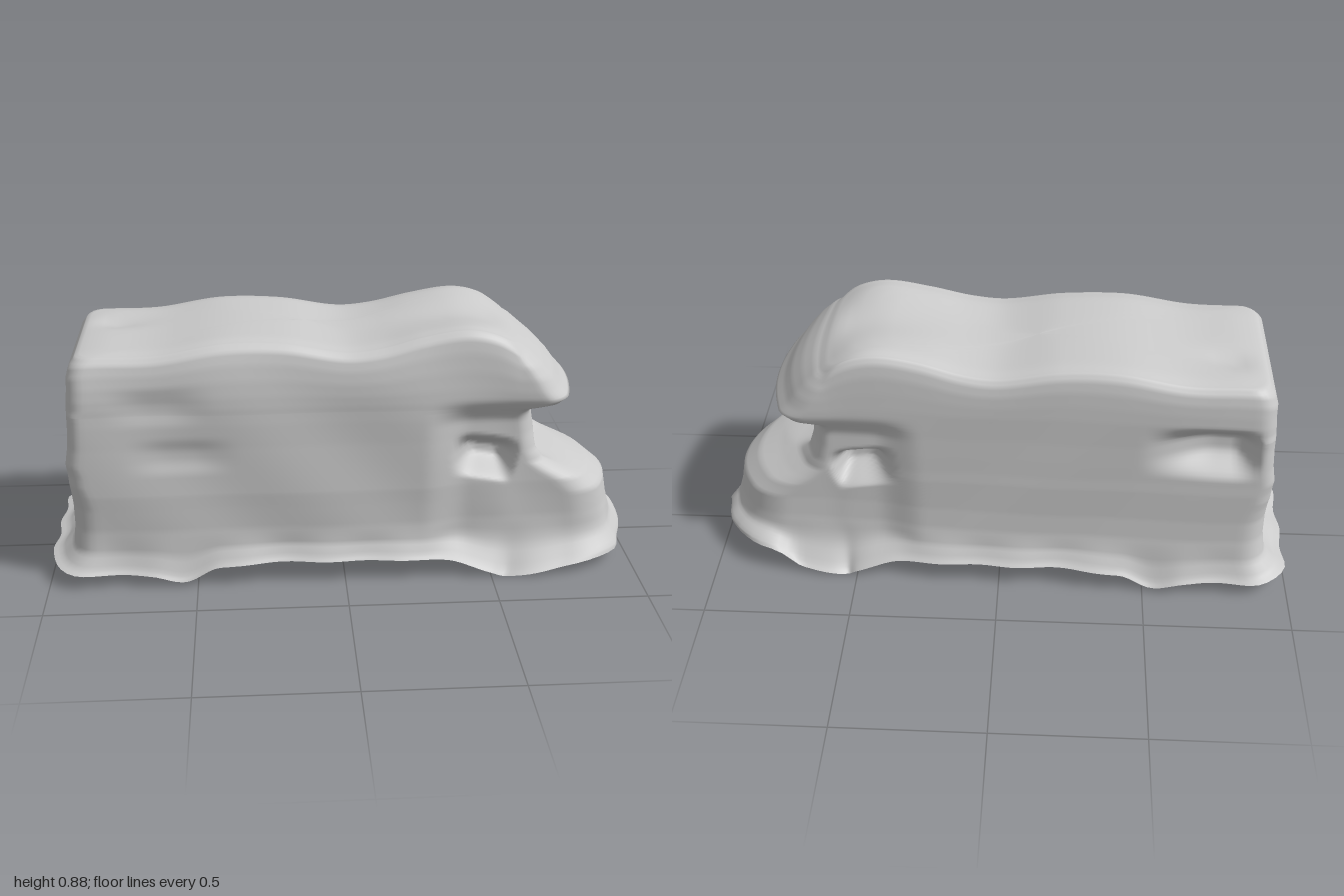
import * as THREE from 'three';

const { smoothstep, lerp } = THREE.MathUtils;

// Smooth lookup through [key, value] points
function curve(points) {
  const slope = (i) => {
    const a = points[Math.max(i - 1, 0)], b = points[Math.min(i + 1, points.length - 1)];
    return (b[1] - a[1]) / (b[0] - a[0]);
  };
  return (x) => {
    if (x <= points[0][0]) return points[0][1];
    for (let i = 1; i < points.length; i++) {
      const [x0, v0] = points[i - 1], [x1, v1] = points[i];
      if (x > x1) continue;
      const h = x1 - x0, t = (x - x0) / h, u = 1 - t;
      return v0 * u * u * (1 + 2 * t) + v1 * t * t * (3 - 2 * t) + h * t * u * (slope(i - 1) * u - slope(i) * t);
    }
    return points[points.length - 1][1];
  };
}

// 1 inside [a, b], fading to 0 over s at both ends
const bump = (v, a, b, s) => smoothstep(v, a, a + s) * (1 - smoothstep(v, b - s, b));

const roof = curve([[-0.9, 0.79], [-0.85, 0.806], [-0.62, 0.81], [-0.4, 0.845], [-0.2, 0.842],
  [0, 0.81], [0.12, 0.82], [0.26, 0.855], [0.4, 0.876], [0.5, 0.858], [0.6, 0.81]]);
const hem = curve([[-1, 0.07], [-0.88, 0.055], [-0.64, 0.045], [-0.53, 0.022], [-0.42, 0.072],
  [0, 0.083], [0.35, 0.07], [0.5, 0.025], [0.63, 0.003], [0.98, 0.05]]);

// Horizontal sections: y, rear x, front x, right z, left z, corner radius
const sections = [
  [0.07, -0.995, 1.0, -0.34, 0.34, 0.12],
  [0.085, -0.965, 1.0, -0.325, 0.328, 0.11],
  [0.13, -0.92, 0.965, -0.302, 0.31, 0.09],
  [0.2, -0.91, 0.945, -0.29, 0.308, 0.08],
  [0.28, -0.91, 0.93, -0.285, 0.312, 0.08],
  [0.33, -0.912, 0.87, -0.285, 0.315, 0.07],
  [0.365, -0.915, 0.79, -0.285, 0.315, 0.06],
  [0.40, -0.917, 0.72, -0.285, 0.315, 0.06],
  [0.44, -0.92, 0.68, -0.283, 0.315, 0.05],
  [0.50, -0.91, 0.66, -0.282, 0.315, 0.05],
  [0.58, -0.905, 0.645, -0.28, 0.317, 0.05],
  [0.60, -0.905, 0.655, -0.28, 0.317, 0.05],
  [0.609, -0.905, 0.71, -0.28, 0.317, 0.05],
  [0.618, -0.905, 0.755, -0.28, 0.317, 0.05],
  [0.636, -0.905, 0.777, -0.28, 0.318, 0.06],
  [0.67, -0.903, 0.745, -0.28, 0.318, 0.06],
  [0.71, -0.90, 0.715, -0.278, 0.315, 0.06],
  [0.75, -0.90, 0.675, -0.274, 0.308, 0.06],
  [0.785, -0.89, 0.63, -0.265, 0.297, 0.06],
  [0.805, -0.87, 0.59, -0.248, 0.275, 0.06],
];

// Rounded rectangle, running anticlockwise seen from above
function outline([y, x0, x1, z0, z1, r]) {
  const pts = [];
  const corners = [[x0 + r, z1 - r, 180], [x1 - r, z1 - r, 90], [x1 - r, z0 + r, 0], [x0 + r, z0 + r, -90]];
  const arc = (c, k) => {
    const a = THREE.MathUtils.degToRad(c[2] - 90 * k);
    return [c[0] + r * Math.cos(a), c[1] + r * Math.sin(a)];
  };
  corners.forEach((c, i) => {
    for (let k = 0; k <= 6; k++) pts.push([...arc(c, k / 6), y]);
    const from = arc(c, 1), to = arc(corners[(i + 1) % 4], 0), n = i % 2 ? 32 : 80;
    for (let k = 1; k < n; k++) pts.push([lerp(from[0], to[0], k / n), lerp(from[1], to[1], k / n), y]);
  });
  return pts;
}

// Bend a plain section point into the worn, dented body
function shape([x, z, y0]) {
  let y = y0, px = x, pz = z;
  const side = Math.sign(z), wall = smoothstep(Math.abs(z), 0.17, 0.22);
  const low = 1 - smoothstep(y0, 0.07, 0.2);
  // bowed front, tapered right side and narrower cab
  const bow = lerp(0.09, 0.05, smoothstep(y0, 0.3, 0.45));
  px -= bow * smoothstep(x, 0.45, 0.75) * ((z - 0.03) / 0.28) ** 2;
  if (z < 0) pz *= 1 - 0.13 * smoothstep(x, -0.9, 0.75);
  pz *= 1 - 0.13 * smoothstep(x, 0.26, 0.42) * bump(y, 0.06, 0.65, 0.1);
  // cab door windows
  const tilt = 0.15 * (x - 0.48);
  pz -= side * wall * 0.095 * bump(x, 0.355, 0.62, 0.09) * bump(y, 0.34 - tilt, 0.505 - tilt, 0.07);
  // rear side window and shallow dents
  if (z < 0) pz += wall * 0.075 * smoothstep(x, -0.87, -0.78) * (1 - smoothstep(x, -0.72, -0.46)) * bump(y, 0.46, 0.67, 0.085);
  else pz -= wall * 0.009 * (bump(x, -0.8, -0.42, 0.16) * bump(y, 0.57, 0.72, 0.07)
    + bump(x, -0.74, -0.34, 0.16) * bump(y, 0.4, 0.54, 0.06));
  // windscreen and rear window
  const slant = 0.16 * (z - 0.05);
  if (x > 0.6) px -= 0.1 * bump(z, -0.15, 0.27, 0.12) * bump(y, 0.37 - slant, 0.515 - slant, 0.07);
  if (x < -0.85) px += bump(z, -0.23, 0.26, 0.1) * (0.06 * bump(y, 0.47, 0.68, 0.085) + 0.025 * bump(y, 0.24, 0.43, 0.08));
  // roof line and wavy hem, lifted under the right of the nose
  y += (roof(x) - 0.808) * smoothstep(y0, 0.62, 0.8);
  y += low * (hem(x) - 0.07 + 0.05 * smoothstep(x, 0.84, 0.94) * (1 - smoothstep(z, -0.05, 0.08)));
  // gentle surface wobble
  pz += side * low * wall * 0.006 * Math.sin(x * 23 + z * 9);
  px += low * 0.006 * Math.sin(z * 31);
  pz += side * wall * 0.004 * Math.sin(x * 11 + y * 9);
  return [px, y, pz];
}

// Skin closed rings of equal length
function skin(rings) {
  const n = rings[0].length, index = [];
  for (let i = 0; i < rings.length - 1; i++) {
    for (let j = 0; j < n; j++) {
      const a = i * n + j, b = i * n + (j + 1) % n;
      index.push(a, b, b + n, a, b + n, a + n);
    }
  }
  const g = new THREE.BufferGeometry();
  g.setAttribute('position', new THREE.Float32BufferAttribute(rings.flat(2), 3));
  g.setIndex(index);
  g.computeVertexNormals();
  return g;
}

export function createModel() {
  const group = new THREE.Group();
  const material = new THREE.MeshStandardMaterial({ color: 0xcccccc });
  const add = (name, rings) => {
    const mesh = new THREE.Mesh(skin(rings), material);
    mesh.name = name;
    group.add(mesh);
  };

  // walls, cab and overhanging sleeping berth
  const rings = [outline(sections[0]).map(shape)];
  sections.slice(1).forEach((s, i) => {
    const p = sections[i];
    const n = Math.max(2, Math.ceil(Math.hypot(s[0] - p[0], (s[2] - p[2]) * 0.6) / 0.013));
    for (let k = 1; k <= n; k++) rings.push(outline(s.map((v, m) => lerp(p[m], v, k / n))).map(shape));
  });

  // roof, closing inward, sagging over the berth and dented at the rear
  const rim = rings[rings.length - 1];
  for (const k of [0.97, 0.93, 0.87, 0.8, 0.7, 0.6, 0.5, 0.4, 0.3, 0.2, 0.1, 0]) {
    rings.push(rim.map(([x, y, z]) => {
      const px = lerp(-0.12, x, lerp(k, 1, 0.35 * k)), pz = lerp(0.01, z, k);
      const sag = 0.026 * smoothstep(px, 0.1, 0.4) * Math.exp(-(((pz - 0.04) / 0.13) ** 2))
        * (1 - smoothstep(px, 0.48, 0.58))
        + 0.02 * Math.exp(-(((px + 0.75) / 0.06) ** 2) - ((pz + 0.08) / 0.06) ** 2);
      return [px, roof(px) + lerp(0.004, y - roof(x), smoothstep(k, 0.8, 1)) - sag, pz];
    }));
  }
  add('body', rings);

  // underside, following the hem
  add('underside', [0, 0.2, 0.4, 0.55, 0.7, 0.8, 0.9, 1].map((k) =>
    rings[0].map(([x, y, z]) => [x * k, lerp(hem(x * k) + 0.012, y, smoothstep(k, 0.7, 1)), z * k])));

  return group;
}
